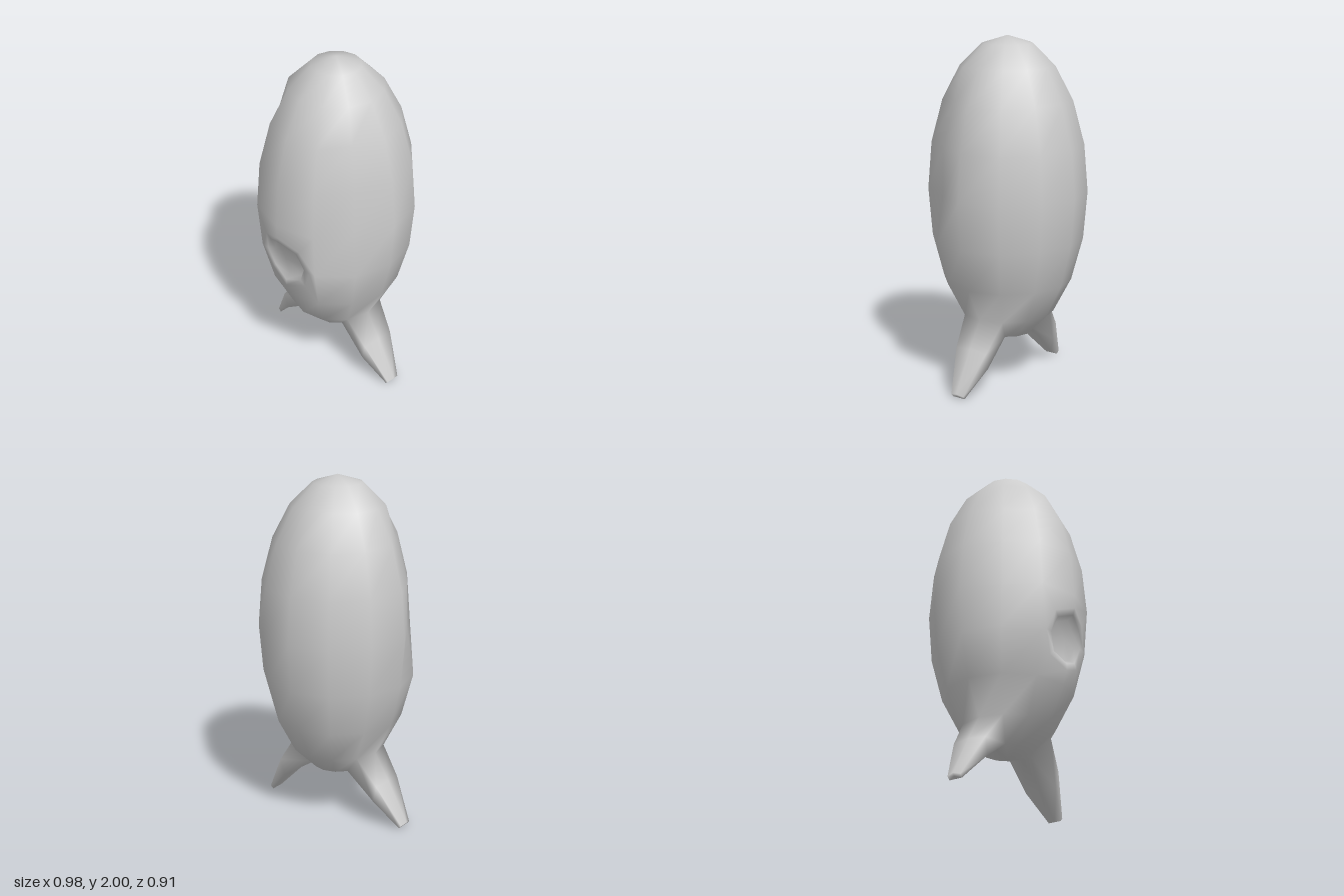
import * as THREE from 'three';

const COLS = 12, ROWS = 10, CY = 1.12, RY = 0.88, R = 0.457;

export function createModel() {
  const verts = [];
  const add = (x, y, z) => verts.push(x, y, z) / 3 - 1;
  const parts = { body: [], mouth: [], leftLeg: [], rightLeg: [] };

  const quad = (out, a, b, c, d) => out.push(a, b, c, a, c, d);
  // Joins two loops of equal length, both anticlockwise from outside
  const bridge = (out, a, b) => a.forEach((_, i) => {
    const j = (i + 1) % a.length;
    quad(out, a[i], a[j], b[j], b[i]);
  });
  const cap = (out, loop, centre) =>
    loop.forEach((v, i) => out.push(v, loop[(i + 1) % loop.length], centre));

  // Egg-shaped body grid, with a shallow hollow on each cheek
  const hollow = { 3: 0.885, 4: 0.9, 5: 0.865 };
  const rowY = k => CY + RY * Math.cos(Math.PI * k / ROWS);
  const rowR = k => R * Math.sin(Math.PI * k / ROWS);
  const grid = [];
  for (let k = 0; k <= ROWS; k++) {
    if (k === 0 || k === ROWS) {
      grid.push(Array(COLS).fill(add(0, rowY(k), 0)));
      continue;
    }
    const row = [];
    for (let c = 0; c < COLS; c++) {
      const a = c / COLS * Math.PI * 2;
      const r = rowR(k) * ((c === 1 || c === 5) && hollow[k] ? hollow[k] : 1);
      row.push(add(r * Math.cos(a), rowY(k), r * Math.sin(a)));
    }
    grid.push(row);
  }
  const id = (k, c) => grid[k][(c + COLS) % COLS];

  // Body faces, left open where the mouth and legs grow out
  for (let k = 0; k < ROWS; k++) {
    for (let c = 0; c < COLS; c++) {
      if ((k === 5 || k === 6) && (c === 2 || c === 3)) continue;
      if (k === 8 && [11, 0, 5, 6].includes(c)) continue;
      const a = id(k, c), b = id(k, c + 1), d = id(k + 1, c + 1), e = id(k + 1, c);
      if (k > 0) parts.body.push(a, b, k === ROWS - 1 ? e : d);
      if (k < ROWS - 1) parts.body.push(a, d, e);
    }
  }

  // Mouth: a low rim around an octagonal pit
  const frontZ = (x, y) => {
    let k = 5;
    while (k < 7 && y < rowY(k + 1)) k++;
    const t = (rowY(k) - y) / (rowY(k) - rowY(k + 1));
    return THREE.MathUtils.lerp(rowR(k), rowR(k + 1), t) - Math.abs(x) * 0.268;
  };
  const mouthY = 0.86;
  const mouthRing = (radius, push) => Array.from({ length: 8 }, (_, i) => {
    const a = i * Math.PI / 4;
    const x = radius * 1.05 * Math.cos(a), y = mouthY + radius * Math.sin(a);
    return add(x, y, frontZ(x, y) + push);
  });
  let loop = [[6, 2], [5, 2], [5, 3], [5, 4], [6, 4], [7, 4], [7, 3], [7, 2]]
    .map(([k, c]) => id(k, c));
  for (const [radius, push] of [[0.18, 0.006], [0.14, -0.004], [0.118, -0.038]]) {
    const next = mouthRing(radius, push);
    bridge(parts.mouth, loop, next);
    loop = next;
  }
  cap(parts.mouth, loop, add(0, mouthY, 0.39));

  // Legs: drawn out of the lower sides and tapered to small flat tips
  // Section: top x, y, half-width, then bottom x, y, half-width
  const sections = [
    [0.36, 0.26, 0.105, 0.325, 0.155, 0.1],
    [0.49, 0.032, 0.042, 0.465, 0.004, 0.04],
  ];
  for (const [name, s, c0] of [['leftLeg', 1, 0], ['rightLeg', -1, 6]]) {
    const out = parts[name];
    let ring = [[8, -1], [8, 0], [8, 1], [9, 1], [9, 0], [9, -1]]
      .map(([k, c]) => id(k, c0 + c));
    for (const [tx, ty, tw, bx, by, bw] of sections) {
      const next = [
        [tx - 0.01, ty - 0.01, -tw], [tx, ty, 0], [tx - 0.01, ty - 0.01, tw],
        [bx, by, bw], [bx, by, 0], [bx, by, -bw],
      ].map(([x, y, z]) => add(s * x, y, s * z));
      bridge(out, ring, next);
      ring = next;
    }
    cap(out, ring, add(s * 0.478, 0.016, 0));
  }

  // Normals are found on the whole skin, so the parts blend without seams
  const skin = new THREE.BufferGeometry();
  skin.setAttribute('position', new THREE.Float32BufferAttribute(verts, 3));
  skin.setIndex(Object.values(parts).flat());
  skin.computeVertexNormals();

  const material = new THREE.MeshStandardMaterial({ color: 0xcccccc });
  const group = new THREE.Group();
  for (const [name, index] of Object.entries(parts)) {
    const geometry = skin.clone().setIndex(index);
    const mesh = new THREE.Mesh(geometry, material);
    mesh.name = name;
    group.add(mesh);
  }
  return group;
}
